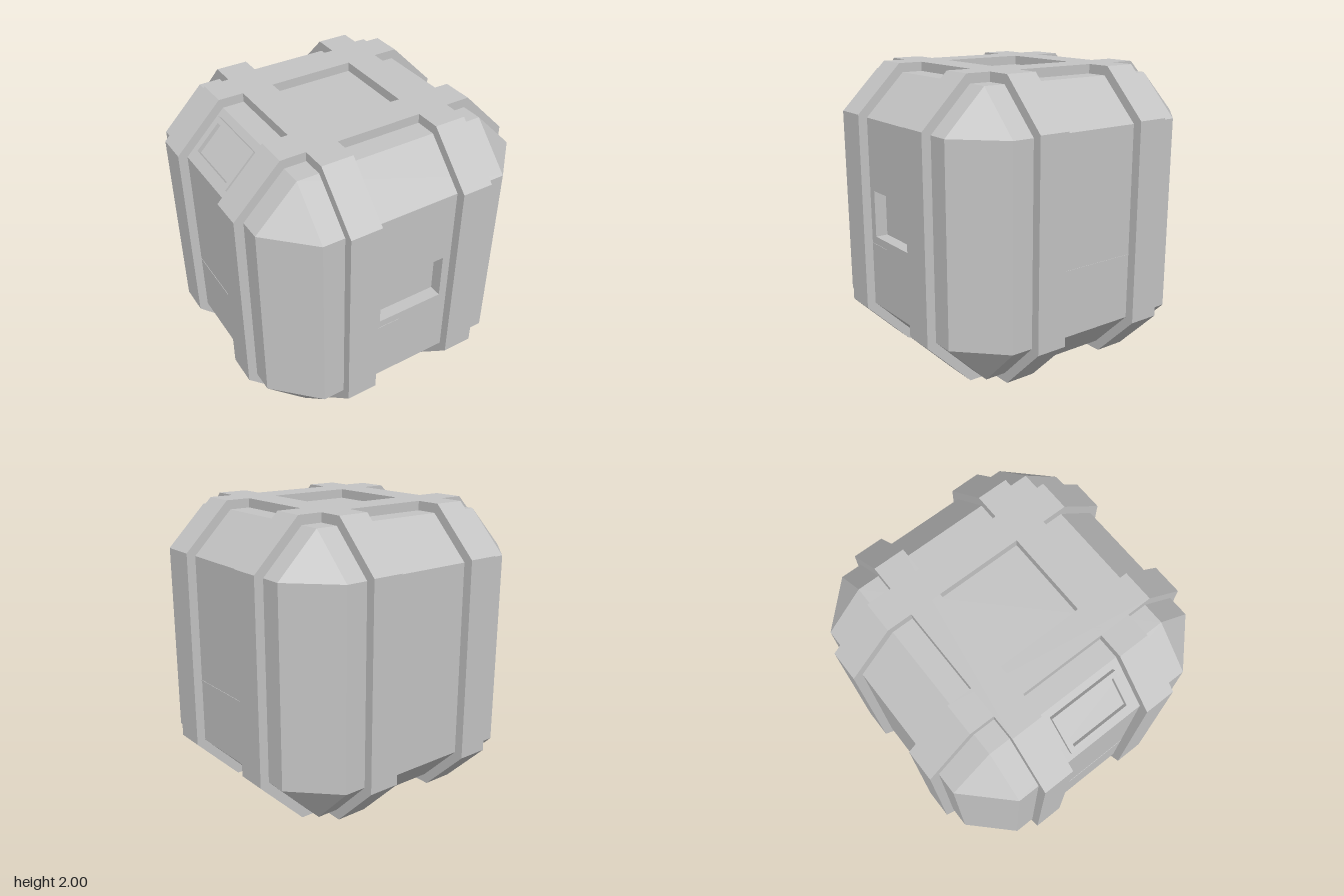
import * as THREE from 'three';
import { ConvexGeometry } from 'three/addons/geometries/ConvexGeometry.js';

const R = 0.938, F = 0.658;          // body half size and half width of its flat faces
const S = 1.0, SF = 0.682;           // strap half size and half width of its flats
const STRAP_IN = 0.296, STRAP_OUT = 0.511;

const rectPoints = (x0, y0, x1, y1) => [[x0, y0], [x1, y0], [x1, y1], [x0, y1]].map(p => new THREE.Vector2(...p));

// Rectangular plate with a rectangular opening, extruded along +z
function framePlate(outer, inner, depth) {
  const shape = new THREE.Shape(rectPoints(...outer));
  shape.holes.push(new THREE.Path(rectPoints(...inner).reverse()));
  return new THREE.ExtrudeGeometry(shape, { depth, bevelEnabled: false });
}

// Chamfered cube, left open where the front panel sits
function bodyGeometry() {
  const pts = [];
  for (const a of [-1, 1]) for (const b of [-1, 1]) for (const c of [-1, 1]) {
    pts.push(new THREE.Vector3(a * R, b * F, c * F),
      new THREE.Vector3(a * F, b * R, c * F),
      new THREE.Vector3(a * F, b * F, c * R));
  }
  const hull = new ConvexGeometry(pts);
  const pos = hull.attributes.position.array, kept = [];
  for (let i = 0; i < pos.length; i += 9) {
    const front = [2, 5, 8].every(k => pos[i + k] > R - 0.001);
    if (!front) kept.push(...pos.slice(i, i + 9));
  }
  const g = new THREE.BufferGeometry();
  g.setAttribute('position', new THREE.Float32BufferAttribute(kept, 3));
  g.computeVertexNormals();
  return g;
}

export function createModel() {
  const grey = new THREE.MeshStandardMaterial({ color: 0xc4c4c4 });
  grey.name = 'grey';

  const model = new THREE.Group();
  model.name = 'crate';
  const crate = new THREE.Group();
  crate.name = 'crateParts';
  crate.position.y = 1;
  model.add(crate);

  const add = (name, geometry, x = 0, y = 0, z = 0, parent = crate) => {
    const m = new THREE.Mesh(geometry, grey);
    m.name = name;
    m.position.set(x, y, z);
    parent.add(m);
    return m;
  };

  add('body', bodyGeometry());

  // Front panel with a sunken window
  const depth = 0.085;
  add('frontPanel', framePlate([-F, -F, F, F], [-0.24, -0.155, 0.237, 0.167], depth), 0, 0, R - depth);
  add('recessFloor', new THREE.PlaneGeometry(0.52, 0.36), 0, 0.006, R - depth);

  // Octagonal straps, two running each way
  const c = [[S, SF], [SF, S], [-SF, S], [-S, SF], [-S, -SF], [-SF, -S], [SF, -S], [S, -SF]];
  const octagon = new THREE.Shape(c.map(p => new THREE.Vector2(...p)));
  const width = STRAP_OUT - STRAP_IN;
  const strap = new THREE.ExtrudeGeometry(octagon, { depth: width, bevelEnabled: false });
  strap.translate(0, 0, -width / 2);
  const mid = (STRAP_IN + STRAP_OUT) / 2;
  for (const s of [-1, 1]) {
    add('crossStrap', strap, 0, 0, s * mid);
    add('lengthStrap', strap, s * mid, 0, 0).rotation.y = Math.PI / 2;
  }

  // Raised hatch frame on the upper right-hand chamfer
  const hatch = new THREE.Group();
  hatch.name = 'hatch';
  hatch.position.set(-(R + F) / 2, (R + F) / 2, 0);
  hatch.rotation.set(0, -Math.PI / 2, 0);
  hatch.rotateX(-Math.PI / 4);
  crate.add(hatch);
  add('hatchFrame', framePlate([-0.243, -0.145, 0.243, 0.145], [-0.208, -0.11, 0.208, 0.11], 0.029), 0, 0, 0, hatch);

  // Hairline seams low on the walls
  const seam = 0.006;
  add('frontSeam', new THREE.BoxGeometry(0.21, seam, seam), -0.195, -0.212, R);
  for (const s of [-1, 1]) add('sideSeam', new THREE.BoxGeometry(seam, seam, 0.6), s * R, -0.212, 0);

  return model;
}
